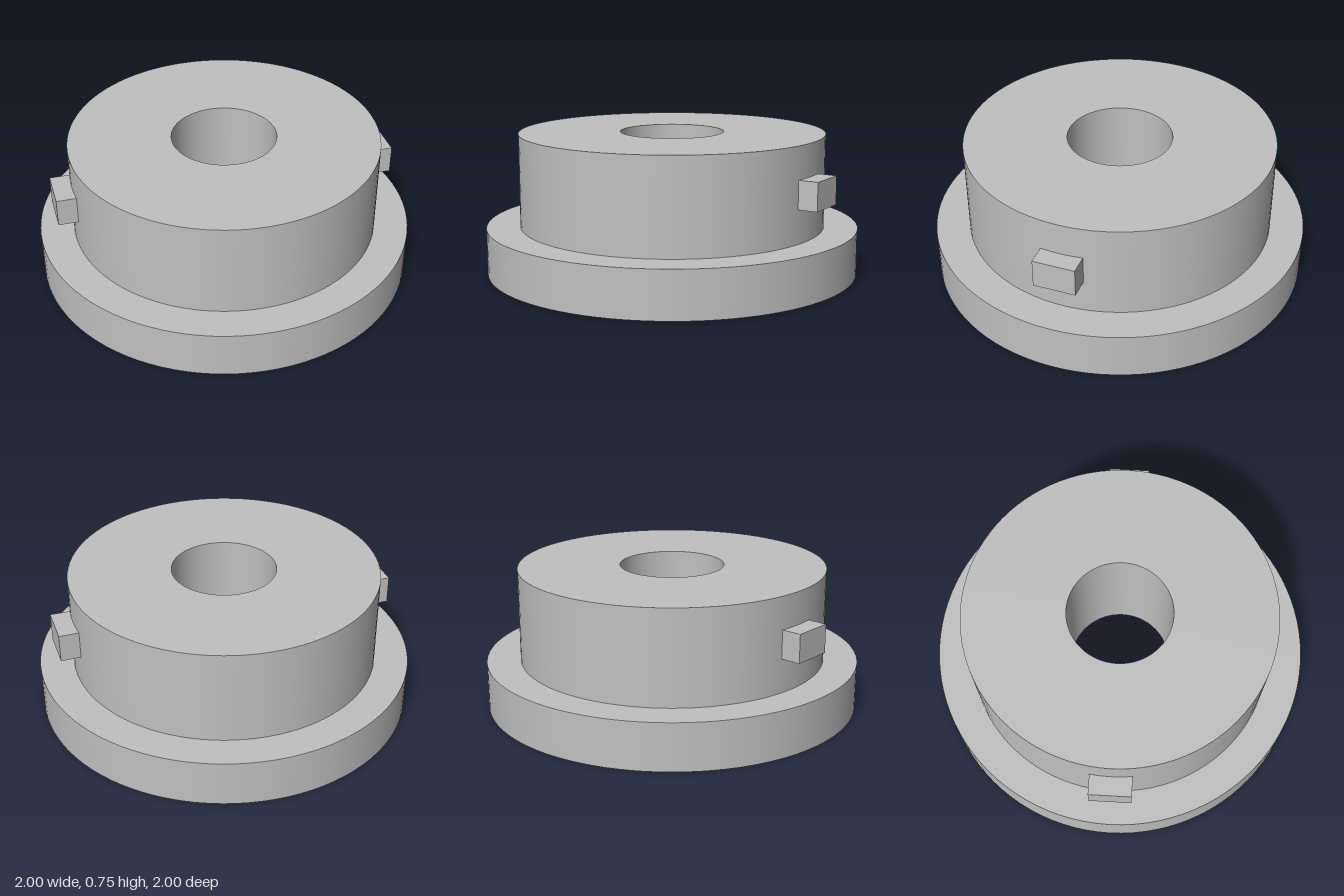
import * as THREE from 'three';
import { mergeGeometries } from 'three/addons/utils/BufferGeometryUtils.js';

const SIDES = 96;
const FLANGE_R = 1, HUB_R = 0.82, BORE_R = 0.277;
const FLANGE_H = 0.25, HUB_H = 0.75;

// Turned surface with a sharp edge at every profile point
function turned(name, profile, material) {
  const bands = [];
  for (let i = 0; i < profile.length - 1; i++) {
    const ends = [profile[i], profile[i + 1]].map(([r, y]) => new THREE.Vector2(r, y));
    bands.push(new THREE.LatheGeometry(ends, SIDES));
  }
  const mesh = new THREE.Mesh(mergeGeometries(bands), material);
  mesh.name = name;
  return mesh;
}

export function createModel() {
  const group = new THREE.Group();
  group.name = 'flangedBushing';
  const grey = new THREE.MeshStandardMaterial({ color: 0xc0c0c0 });
  grey.name = 'grey';

  // Wide foot: underside, rim and ledge
  group.add(turned('flange', [[BORE_R, 0], [FLANGE_R, 0], [FLANGE_R, FLANGE_H], [HUB_R, FLANGE_H]], grey));
  // Raised collar: wall and top ring
  group.add(turned('hub', [[HUB_R, FLANGE_H], [HUB_R, HUB_H], [BORE_R, HUB_H]], grey));
  // Through hole
  group.add(turned('bore', [[BORE_R, HUB_H], [BORE_R, 0]], grey));

  // Locking lugs on both sides, sunk slightly into the hub
  for (const side of [1, -1]) {
    const inner = 0.79, outer = 0.917;
    const lug = new THREE.Mesh(new THREE.BoxGeometry(outer - inner, 0.15, 0.22), grey);
    lug.name = side > 0 ? 'leftLug' : 'rightLug';
    lug.position.set(side * (inner + outer) / 2, 0.503, 0);
    group.add(lug);
  }
  return group;
}
